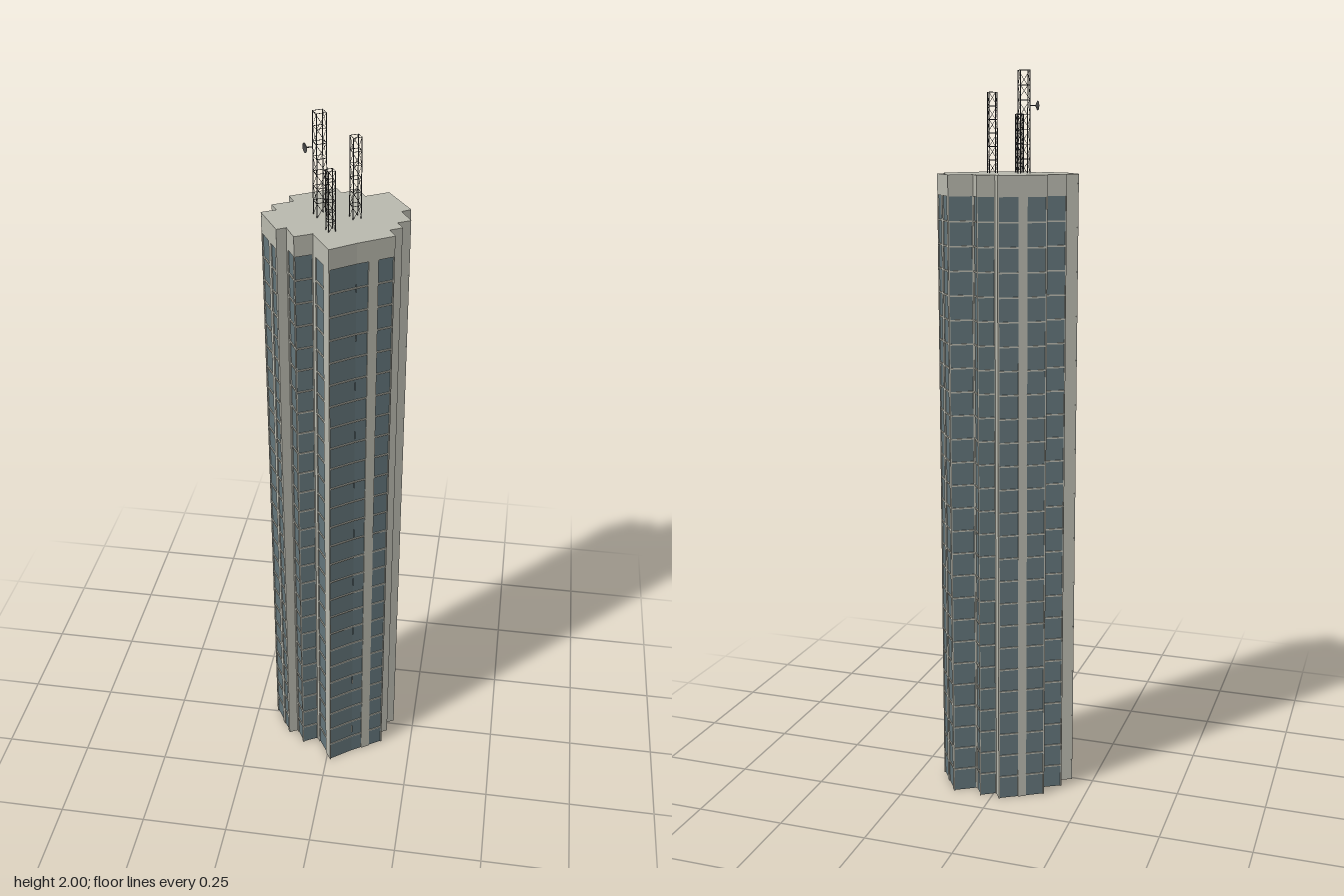
import * as THREE from 'three';

const TOP = 1.735, GLASS_TOP = 1.68, FLOORS = 26, REVEAL = 0.003;

// Plan of the tower: corner x, z, then the glazed stretches of the wall that
// starts there, as fractions of its length. The rest of the wall is concrete.
const PLAN = [
  [-0.024, -0.185, []],
  [-0.008, -0.159, [[0.04, 0.96]]],
  [0.033, -0.184, [[0.04, 0.96]]],
  [0.056, -0.146, [[0.04, 0.96]]],
  [0.113, -0.18, [[0.12, 0.5], [0.64, 0.97]]],
  [0.181, -0.08, []],
  [0.158, -0.064, [[0.1, 0.97]]],
  [0.188, -0.014, []],
  [0.156, 0.005, []],
  [0.172, 0.032, []],
  [0.142, 0.05, []],
  [0.16, 0.082, [[0.03, 0.43], [0.69, 1]]],
  [0.074, 0.136, [[0, 0.96]]],
  [0.012, 0.182, [[0.35, 0.85]]],
  [-0.04, 0.1, [[0.04, 0.96]]],
  [-0.083, 0.123, [[0.15, 0.85]]],
  [-0.11, 0.075, []],
  [-0.133, 0.088, [[0.1, 0.38], [0.52, 0.95]]],
  [-0.19, -0.007, []],
  [-0.154, -0.027, []],
  [-0.172, -0.057, [[0.04, 0.96]]],
  [-0.12, -0.086, []],
  [-0.138, -0.118, [[0.03, 0.4], [0.58, 0.97]]],
];

export function createModel() {
  const tower = new THREE.Group();
  tower.name = 'tower';
  const mat = (name, color) => {
    const m = new THREE.MeshStandardMaterial({ color, side: THREE.DoubleSide });
    m.name = name;
    return m;
  };
  const concrete = mat('concrete', 0xbabaaf);
  const glass = mat('glass', 0x64767b);
  const metal = mat('darkMetal', 0x444444);

  const add = (parent, name, geometry, material) => {
    const mesh = new THREE.Mesh(geometry, material);
    mesh.name = name;
    parent.add(mesh);
    return mesh;
  };

  // Walls: each is a group whose local x runs along it and z points outwards
  PLAN.forEach(([x, z, panes], i) => {
    const [x2, z2] = PLAN[(i + 1) % PLAN.length];
    const dx = x2 - x, dz = z2 - z, len = Math.hypot(dx, dz);
    const wall = new THREE.Group();
    wall.name = 'wall';
    wall.position.set(x, 0, z);
    wall.rotation.y = Math.atan2(dz, -dx);
    tower.add(wall);

    // Concrete stands flush with the plan outline
    const slab = (name, from, to, low, high) => {
      if (to - from < 1e-4) return;
      const p = add(wall, name,
        new THREE.BoxGeometry((to - from) * len, high - low, REVEAL), concrete);
      p.position.set(-(from + to) / 2 * len, (low + high) / 2, -REVEAL / 2);
    };
    slab('parapet', 0, 1, GLASS_TOP, TOP);
    let at = 0;
    for (const [from, to] of panes) {
      slab('pier', at, from, 0, GLASS_TOP);
      // Glass set back behind the concrete, crossed by the floor edges
      const pane = add(wall, 'glazing',
        new THREE.PlaneGeometry((to - from) * len, GLASS_TOP), glass);
      pane.position.set(-(from + to) / 2 * len, GLASS_TOP / 2, -REVEAL);
      for (let f = 1; f < FLOORS; f++) {
        const y = f * GLASS_TOP / FLOORS;
        slab('floorEdge', from, to, y - 0.002, y + 0.002);
      }
      at = to;
    }
    slab('pier', at, 1, 0, GLASS_TOP);
  });

  // Flat roof
  const outline = new THREE.Shape(PLAN.map(([x, z]) => new THREE.Vector2(x, -z)));
  const roof = add(tower, 'roof', new THREE.ShapeGeometry(outline).rotateX(-Math.PI / 2), concrete);
  roof.position.y = TOP + 0.0005;

  // Thin rod between two points
  const rod = (parent, name, a, b, r) => {
    const d = b.clone().sub(a);
    const m = add(parent, name, new THREE.CylinderGeometry(r, r, d.length(), 4), metal);
    m.position.copy(a).add(b).multiplyScalar(0.5);
    m.quaternion.setFromUnitVectors(new THREE.Vector3(0, 1, 0), d.normalize());
  };

  // Square lattice masts
  const mast = (x, z, side, top) => {
    const g = new THREE.Group();
    g.name = 'mast';
    g.position.set(x, TOP, z);
    g.rotation.y = 0.54;
    tower.add(g);
    const h = top - TOP, s = side / 2, bays = Math.round(h / (side * 1.5));
    const corner = (k, y) => new THREE.Vector3(
      [s, s, -s, -s][k % 4], y, [s, -s, -s, s][k % 4]);
    for (let k = 0; k < 4; k++) {
      rod(g, 'mastLeg', corner(k, 0), corner(k, h), 0.0013);
      for (let b = 0; b < bays; b++) {
        const y0 = b * h / bays, y1 = (b + 1) * h / bays, flip = b % 2;
        rod(g, 'mastRing', corner(k, y1), corner(k + 1, y1), 0.0008);
        rod(g, 'mastBrace', corner(k + flip, y0), corner(k + 1 - flip, y1), 0.0006);
      }
    }
  };
  mast(-0.04, -0.012, 0.026, 2);
  mast(0.049, -0.01, 0.022, 1.945);
  mast(0, 0.075, 0.018, 1.89);

  // Dish on the tallest mast
  const dish = add(tower, 'dish',
    new THREE.ConeGeometry(0.013, 0.007, 12, 1, true).rotateX(-Math.PI / 2), metal);
  dish.position.set(-0.073, 1.91, -0.008);
  dish.rotation.y = Math.atan2(-0.82, 0.57);
  rod(tower, 'dishArm', new THREE.Vector3(-0.071, 1.91, -0.01),
    new THREE.Vector3(-0.057, 1.91, -0.015), 0.0013);

  return tower;
}
